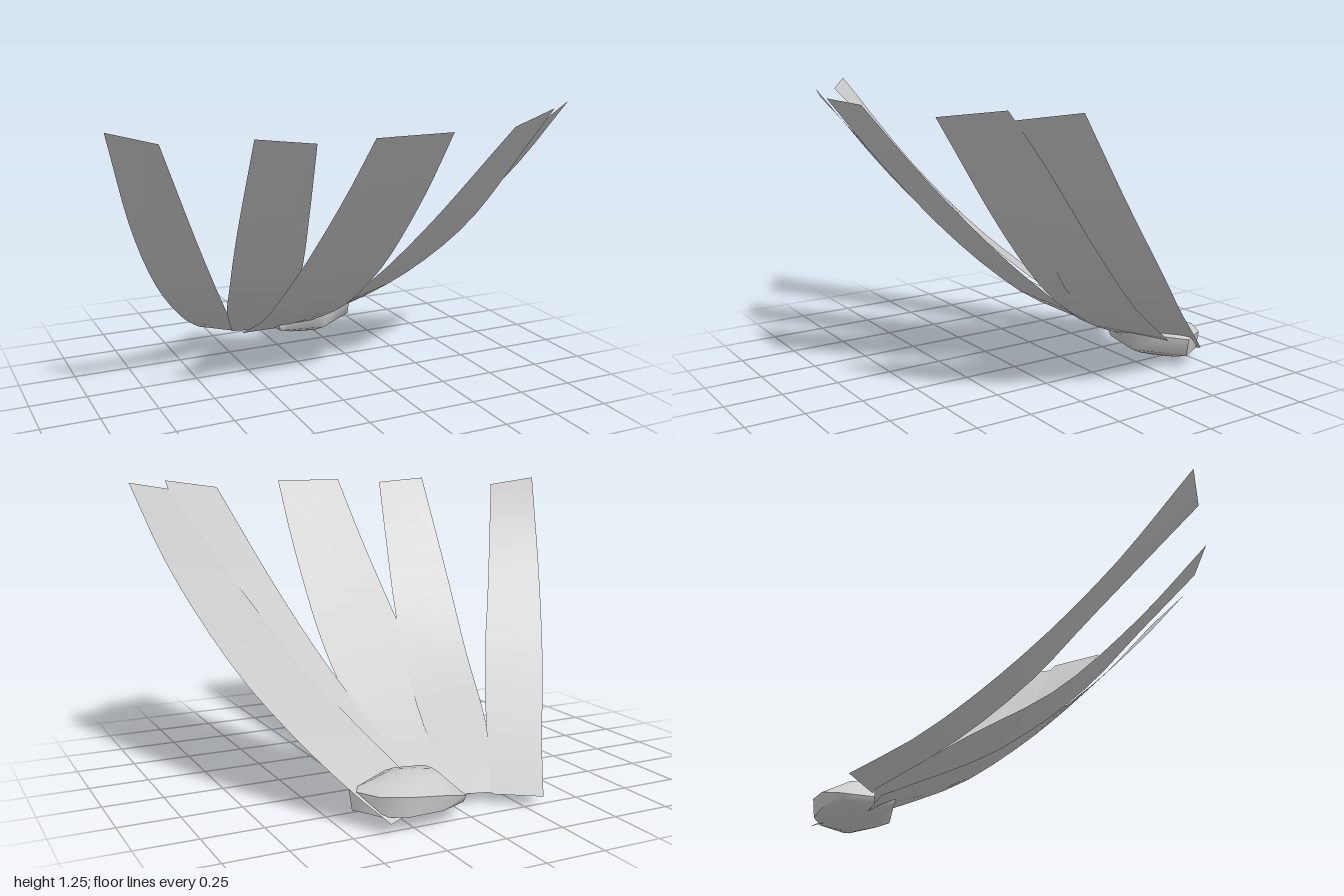
import * as THREE from 'three';
import { toCreasedNormals } from 'three/addons/utils/BufferGeometryUtils.js';

const grey = new THREE.MeshStandardMaterial({ color: 0xcccccc, side: THREE.DoubleSide });
grey.name = 'pale grey';

// Smooth curve through [x, y, z] points
const curve = (pts) => new THREE.CatmullRomCurve3(pts.map((p) => new THREE.Vector3(...p)));

// Thin curved ribbon spanned between two edge curves, base to tip
function ribbon(a, b, segments = 14) {
  const left = curve(a), right = curve(b);
  const geo = new THREE.PlaneGeometry(1, 1, 2, segments);
  const pos = geo.attributes.position;
  for (let i = 0; i < pos.count; i++) {
    const t = pos.getY(i) + 0.5, u = pos.getX(i) + 0.5;
    const p = left.getPointAt(t).lerp(right.getPointAt(t), u);
    pos.setXYZ(i, p.x, p.y, p.z);
  }
  geo.computeVertexNormals();
  return geo;
}

// Stone: scaled rings of one outline, closed by a peak above and below
function stone() {
  const outline = [[0, -.615], [.015, -.74], [.14, -.795], [.29, -.8], [.39, -.75],
    [.46, -.625], [.38, -.57], [.245, -.475], [.165, -.49], [.02, -.52]];
  const cx = .21, cz = -.625, n = outline.length;
  const rings = [[.005, 0], [.035, .55], [.065, .95], [.145, 1], [.177, .55], [.19, 0]];
  const pos = [], index = [];
  rings.forEach(([y, s], r) => {
    for (const [x, z] of outline) {
      // The upper rim drops towards one end
      const drop = r === 3 ? .06 * Math.max(0, 1 - x / .2) : 0;
      pos.push(cx + (x - cx) * s, y - drop, cz + (z - cz) * s);
    }
  });
  for (let r = 0; r < rings.length - 1; r++) {
    for (let i = 0; i < n; i++) {
      const a = r * n + i, b = r * n + (i + 1) % n;
      if (r > 0) index.push(a, a + n, b);
      if (r < rings.length - 2) index.push(b, a + n, b + n);
    }
  }
  // The outline runs clockwise from above, so swap corners to face outwards
  for (let t = 0; t < index.length; t += 3) {
    const [a, b, c] = index.slice(t, t + 3).map((k) => new THREE.Vector3().fromArray(pos, 3 * k));
    const normal = b.clone().sub(a).cross(c.clone().sub(a));
    if (normal.dot(a.sub(new THREE.Vector3(cx, .1, cz))) < 0) {
      [index[t + 1], index[t + 2]] = [index[t + 2], index[t + 1]];
    }
  }
  const geo = new THREE.BufferGeometry();
  geo.setAttribute('position', new THREE.Float32BufferAttribute(pos, 3));
  geo.setIndex(index);
  return toCreasedNormals(geo, 1);
}

export function createModel() {
  const model = new THREE.Group();
  model.name = 'bladeFan';
  const add = (name, geo) => {
    const mesh = new THREE.Mesh(geo, grey);
    mesh.name = name;
    model.add(mesh);
  };

  // Middle blade shares one side profile [z, y, left x, right x]
  const middle = [[-.62, .045, -.14, .17], [-.2, .26, -.18, .205], [0, .41, -.19, .22],
    [.2, .585, -.185, .222], [.4, .785, -.175, .21], [.6, 1.005, -.16, .195], [.795, 1.24, -.145, .175]];
  add('middleBlade', ribbon(
    middle.map(([z, y, l]) => [l, y, z]), middle.map(([z, y, , r]) => [r, y, z])));

  // Blades on the model's right
  add('outerRightBlade', ribbon(
    [[-.31, .05, -.79], [-.46, .19, -.56], [-.66, .45, -.27], [-.84, .8, .03], [-1, 1.25, .34]],
    [[-.15, .045, -.66], [-.315, .27, -.35], [-.45, .49, -.12], [-.58, .73, .07], [-.835, 1.215, .46]]));
  add('innerRightBlade', ribbon(
    [[-.18, .05, -.66], [-.315, .265, -.34], [-.42, .475, -.01], [-.5, .81, .32], [-.555, 1.245, .67]],
    [[0, .05, -.61], [-.08, .28, -.18], [-.18, .61, .22], [-.26, .92, .48], [-.345, 1.225, .735]]));

  // Blades on the model's left
  add('innerLeftBlade', ribbon(
    [[.02, .05, -.61], [.13, .22, -.26], [.225, .42, 0], [.35, .73, .29], [.525, 1.22, .675]],
    [[.25, .045, -.7], [.41, .15, -.54], [.57, .385, -.22], [.705, .68, .08], [.78, 1.08, .4], [.8, 1.26, .55]]));
  add('outerLeftBlade', ribbon(
    [[.1, .05, -.62], [.33, .41, -.06], [.57, .81, .26], [.695, 1.06, .43], [.8, 1.225, .52]],
    [[.365, .05, -.79], [.465, .15, -.66], [.625, .35, -.42], [.755, .555, -.21], [.91, .92, .12], [1, 1.26, .38]]));

  add('stone', stone());
  return model;
}
